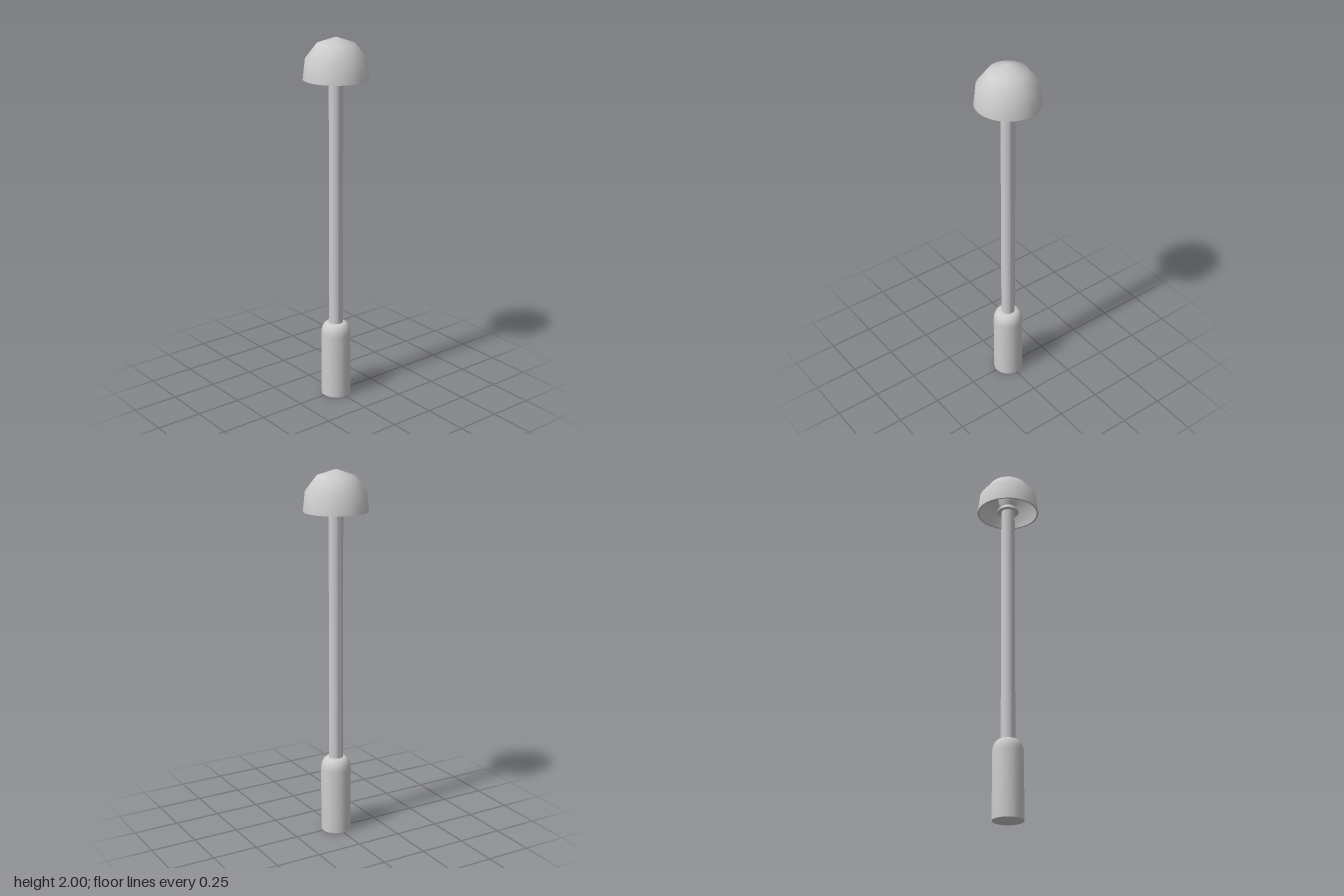
import * as THREE from 'three';
import { toCreasedNormals } from 'three/addons/utils/BufferGeometryUtils.js';

const SIDES = 32;

export function createModel() {
  const model = new THREE.Group();
  const material = new THREE.MeshStandardMaterial({ color: 0xcccccc });

  // Turned part: profile of [radius, height] pairs, smooth except at sharp corners
  function addTurned(name, profile) {
    const points = profile.map(([r, y]) => new THREE.Vector2(r, y));
    const geometry = toCreasedNormals(new THREE.LatheGeometry(points, SIDES), 0.9);
    const mesh = new THREE.Mesh(geometry, material);
    mesh.name = name;
    model.add(mesh);
  }

  // Thick foot with a rounded shoulder
  const shoulder = [];
  for (let i = 0; i <= 5; i++) {
    const a = (i / 5) * Math.PI / 2;
    shoulder.push([0.043 + 0.039 * Math.cos(a), 0.36 + 0.066 * Math.sin(a)]);
  }
  addTurned('base', [[0, 0], [0.082, 0], ...shoulder, [0, 0.426]]);

  // Slender post
  addTurned('pole', [[0, 0.4], [0.038, 0.4], [0.038, 1.8], [0, 1.8]]);

  // Waisted holder joining the post to the shade
  addTurned('lampHolder', [
    [0, 1.79], [0.06, 1.79], [0.06, 1.8], [0.04, 1.82],
    [0.052, 1.85], [0.06, 1.9], [0.06, 1.97], [0, 1.97],
  ]);

  // Hollow domed shade: inside, rim, outside
  addTurned('shade', [
    [0, 1.985], [0.093, 1.953], [0.149, 1.88], [0.162, 1.782],
    [0.172, 1.782], [0.16, 1.888], [0.1, 1.966], [0, 2],
  ]);

  return model;
}
